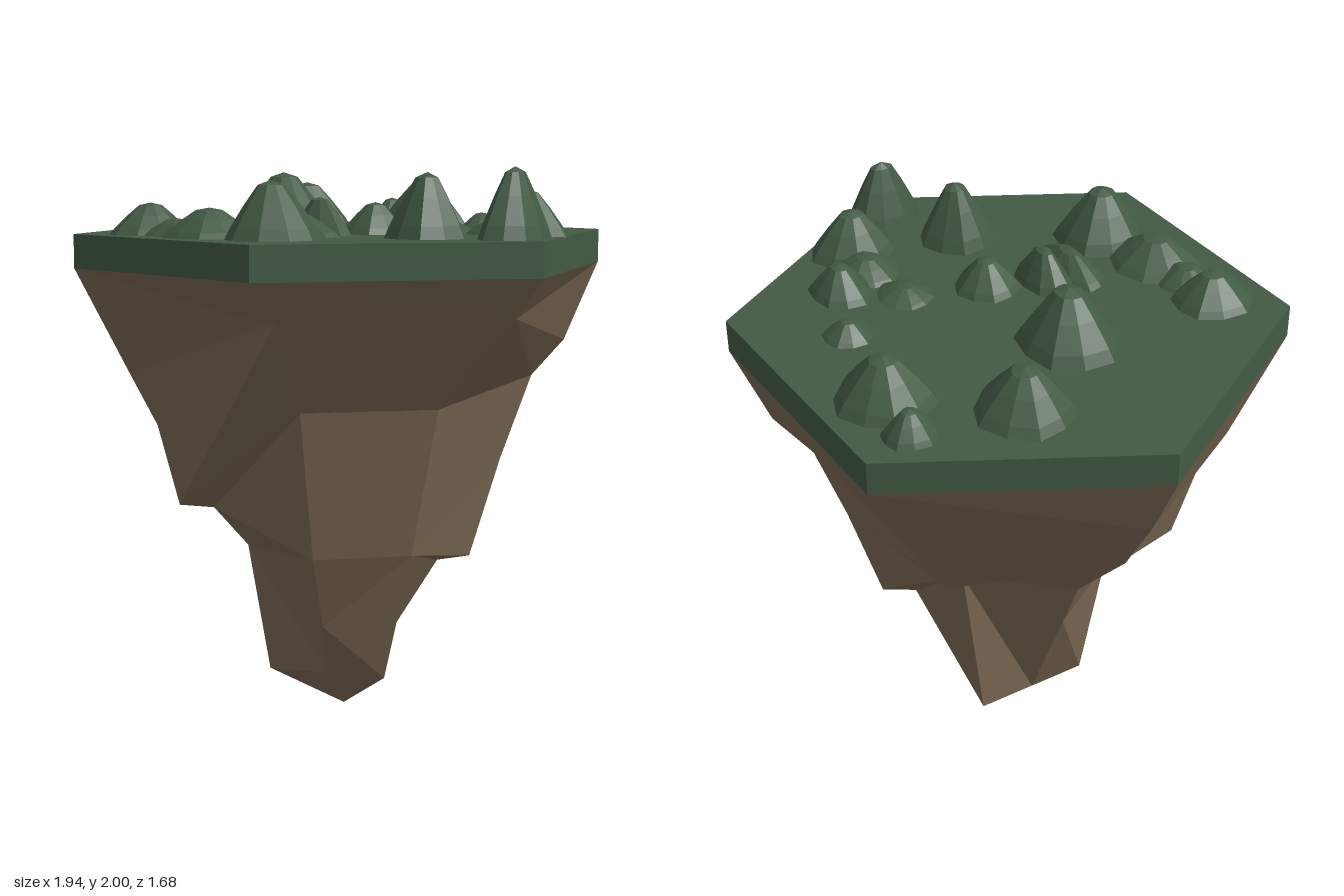
import * as THREE from 'three';

const SLAB_BOTTOM = 1.64, SLAB_TOP = 1.76, RADIUS = 0.97;

const rockMat = new THREE.MeshStandardMaterial({ color: 0x7a6853, flatShading: true });
const grassMat = new THREE.MeshStandardMaterial({ color: 0x425a44, flatShading: true });

// Corner ridges of the rock, each running downward: [x, y, z, optional stitching height]
const ridges = [
  [[0.85, 1.5, 0], [0.49, 1.16, 0], [0.36, 0.62, 0], [0.22, 0.14, 0]],
  [[0.42, 1.5, 0.73], [0.36, 1.49, 0.63], [0.24, 1.16, 0.42, 0.77], [0.18, 0.62, 0.31],
    [0.12, 0.35, 0.21], [0.03, 0.14, 0.11]],
  [[-0.43, 1.26, 0.65], [-0.36, 1.07, 0.58], [-0.3, 0.78, 0.53], [-0.24, 0.765, 0.42],
    [-0.18, 0.62, 0.31], [-0.165, 0.14, 0.22]],
  [[-0.85, 1.38, 0], [-0.72, 1.15, 0], [-0.45, 0.84, 0], [-0.36, 0.62, 0], [-0.16, 0.14, 0]],
  [[-0.385, 1.38, -0.67], [-0.3, 1.05, -0.52], [-0.235, 0.88, -0.41], [-0.185, 0.86, -0.32],
    [-0.155, 0.14, -0.22]],
  [[0.42, 1.35, -0.73], [0.36, 1.22, -0.62], [0.3, 0.91, -0.52], [0.24, 0.54, -0.42],
    [0.18, 0.53, -0.31], [0.03, 0.14, -0.11]],
];

// Stitch neighbouring ridges together from the rim down to the tip
function rockGeometry() {
  const pos = [];
  const tri = (...pts) => pts.forEach(p => pos.push(p[0], p[1], p[2]));
  const key = p => (p ? p[3] ?? p[1] : -1);
  const cols = ridges.map((r, i) => {
    const a = i * Math.PI / 3;
    return [[RADIUS * Math.cos(a), SLAB_BOTTOM, RADIUS * Math.sin(a)], ...r];
  });
  const tip = [0, 0, 0];
  cols.forEach((a, k) => {
    const b = cols[(k + 1) % cols.length];
    let i = 0, j = 0;
    while (i < a.length - 1 || j < b.length - 1) {
      if (key(a[i + 1]) >= key(b[j + 1])) {
        tri(a[i], b[j], a[i + 1]);
        i++;
      } else {
        tri(a[i], b[j], b[j + 1]);
        j++;
      }
    }
    tri(a[i], b[j], tip);
  });
  const geo = new THREE.BufferGeometry();
  geo.setAttribute('position', new THREE.Float32BufferAttribute(pos, 3));
  geo.computeVertexNormals();
  return geo;
}

// Faceted bell-shaped mound with a slightly uneven outline
function hillGeometry(rx, rz, h, seed) {
  const profile = [[1, -0.03], [0.86, 0.2], [0.55, 0.6], [0.27, 0.92], [0, 1]]
    .map(([r, y]) => new THREE.Vector2(r, y));
  const geo = new THREE.LatheGeometry(profile, 10);
  const p = geo.attributes.position;
  for (let i = 0; i < p.count; i++) {
    const x = p.getX(i), z = p.getZ(i), y = p.getY(i);
    const a = Math.atan2(z, x);
    const k = 1 + 0.07 * Math.sin(3 * a + seed * 2.1) * Math.cos(2 * a + seed);
    p.setXYZ(i, x * rx * k, y * h, z * rz * k);
  }
  geo.computeVertexNormals();
  return geo;
}

// Hills: [x, z, radius x, radius z, peak height]
const hills = [
  [-0.43, -0.65, 0.09, 0.1, 1.86],
  [-0.22, -0.62, 0.175, 0.175, 1.93],
  [0.18, -0.53, 0.09, 0.09, 1.82],
  [-0.51, -0.27, 0.175, 0.17, 1.925],
  [-0.25, 0.07, 0.195, 0.175, 1.97],
  [0.2, 0.03, 0.12, 0.12, 1.87],
  [0.44, -0.42, 0.13, 0.11, 1.87],
  [0.3, -0.24, 0.11, 0.1, 1.8],
  [0.52, -0.27, 0.14, 0.12, 1.82],
  [0.67, -0.24, 0.14, 0.16, 1.92],
  [0.8, -0.04, 0.1, 0.15, 2.0],
  [0.55, 0.12, 0.14, 0.14, 1.98],
  [0.12, 0.22, 0.14, 0.09, 1.89],
  [0.14, 0.34, 0.19, 0.09, 1.84],
  [0.27, 0.57, 0.165, 0.17, 1.955],
  [0.02, 0.63, 0.18, 0.16, 1.86],
  [-0.3, 0.64, 0.14, 0.15, 1.87],
  [-0.15, 0.64, 0.13, 0.11, 1.82],
];

export function createModel() {
  const island = new THREE.Group();
  island.name = 'floatingIsland';
  const add = (name, geo, mat, x = 0, y = 0, z = 0, parent = island) => {
    const mesh = new THREE.Mesh(geo, mat);
    mesh.name = name;
    mesh.position.set(x, y, z);
    parent.add(mesh);
    return mesh;
  };

  // Hanging rock
  add('rock', rockGeometry(), rockMat);

  // Hexagonal grass slab
  const thick = SLAB_TOP - SLAB_BOTTOM;
  add('grassSlab', new THREE.CylinderGeometry(RADIUS, RADIUS, thick, 6, 1, false, Math.PI / 2),
    grassMat, 0, SLAB_BOTTOM + thick / 2, 0);

  // Mounds on top
  const mounds = new THREE.Group();
  mounds.name = 'hills';
  island.add(mounds);
  hills.forEach(([x, z, rx, rz, top], i) =>
    add('hill', hillGeometry(rx, rz, top - SLAB_TOP, i), grassMat, x, SLAB_TOP, z, mounds));

  return island;
}
